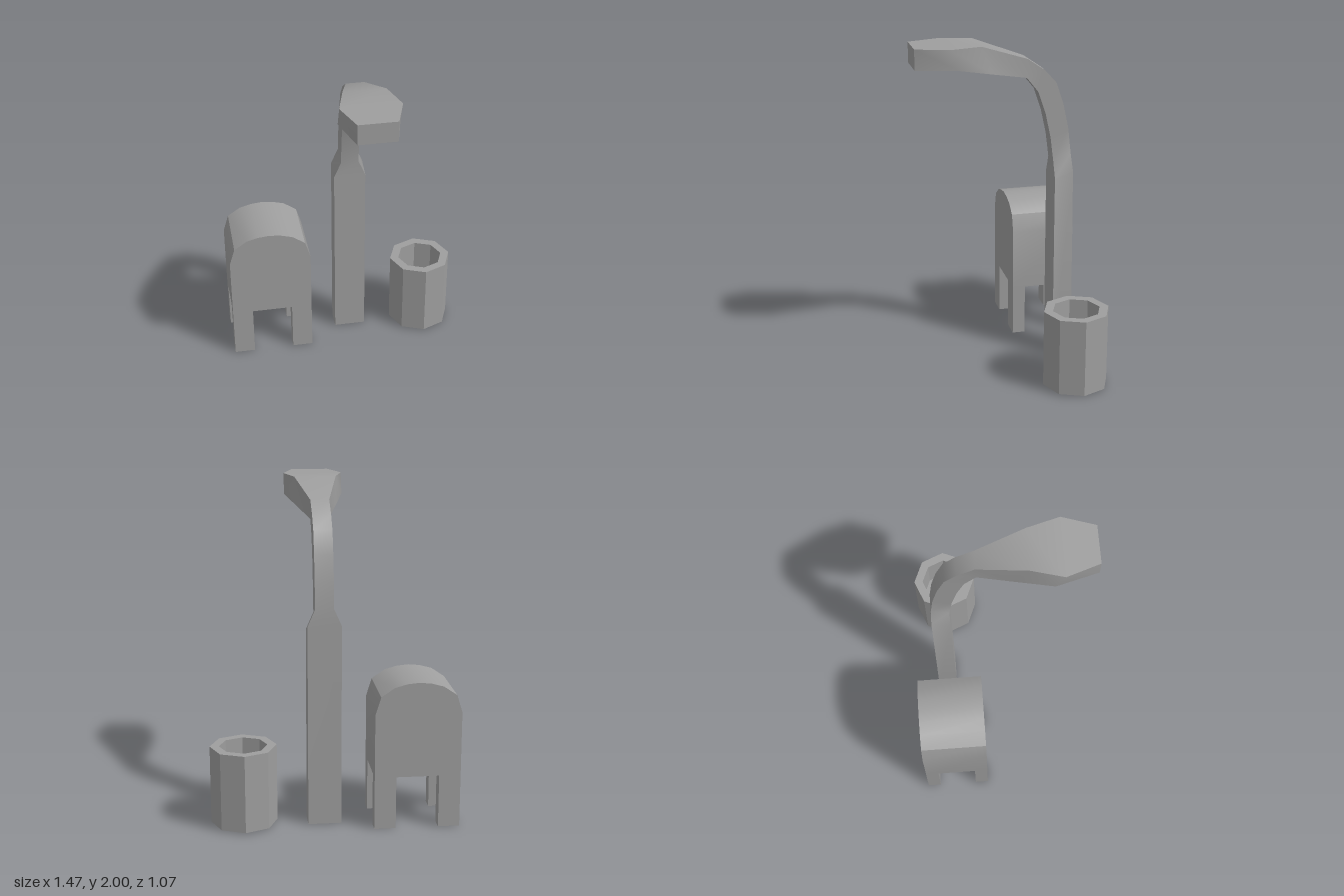
import * as THREE from 'three';
import { toCreasedNormals } from 'three/addons/utils/BufferGeometryUtils.js';

const material = new THREE.MeshStandardMaterial({ color: 0x9e9e9e, side: THREE.DoubleSide });
const flatMaterial = new THREE.MeshStandardMaterial({ color: 0x9e9e9e, side: THREE.DoubleSide, flatShading: true });

function addMesh(parent, name, geometry, mat = material) {
  const mesh = new THREE.Mesh(geometry, mat);
  mesh.name = name;
  parent.add(mesh);
  return mesh;
}

// Skins four-cornered sections; each is [halfWidth, frontZ, frontY, backZ, backY, (frontHalfWidth)].
// The first end stays open, the last one can be capped.
function loft(sections, capEnd) {
  const positions = [];
  const index = [];
  for (const [w, fz, fy, bz, by, fw = w] of sections) {
    positions.push(-fw, fy, fz, fw, fy, fz, w, by, bz, -w, by, bz);
  }
  for (let i = 0; i < sections.length - 1; i++) {
    for (let j = 0; j < 4; j++) {
      const a = i * 4 + j, b = i * 4 + (j + 1) % 4;
      index.push(a, b, b + 4, a, b + 4, a + 4);
    }
  }
  if (capEnd) {
    const e = (sections.length - 1) * 4;
    index.push(e, e + 1, e + 2, e, e + 2, e + 3);
  }
  const geometry = new THREE.BufferGeometry();
  geometry.setAttribute('position', new THREE.Float32BufferAttribute(positions, 3));
  geometry.setIndex(index);
  return toCreasedNormals(geometry, 0.75);
}

// Street lamp: square post, curved neck and a flared head in one skin
function createLamp() {
  const lamp = new THREE.Group();
  lamp.name = 'streetLamp';
  lamp.position.x = 0.056;
  addMesh(lamp, 'lampPostAndHead', loft([
    [0.099, -0.302, 0, -0.422, 0],
    [0.099, -0.302, 1.17, -0.414, 1.21],
    [0.055, -0.302, 1.27, -0.41, 1.31],
    [0.055, -0.283, 1.42, -0.392, 1.47],
    [0.055, -0.25, 1.57, -0.36, 1.62],
    [0.055, -0.205, 1.70, -0.315, 1.75],
    [0.055, -0.135, 1.788, -0.245, 1.828],
    [0.055, -0.135, 1.788, -0.14, 1.90],
    [0.125, 0.08, 1.833, 0.15, 2, 0.117],
    [0.177, 0.29, 1.878, 0.34, 2],
    [0.113, 0.535, 1.878, 0.535, 2],
  ], true));
  return lamp;
}

// Mailbox: arched body on four short legs
function createMailbox() {
  const mailbox = new THREE.Group();
  mailbox.name = 'mailbox';
  mailbox.position.set(-0.48, 0, -0.337);
  const halfWidth = 0.255, halfDepth = 0.197, legTop = 0.32;

  const arch = [[halfWidth, 0.705], [0.222, 0.812], [0.143, 0.866], [0.07, 0.886]];
  const shape = new THREE.Shape();
  shape.moveTo(-halfWidth, legTop);
  shape.lineTo(halfWidth, legTop);
  for (const [x, y] of arch) shape.lineTo(x, y);
  shape.lineTo(0, 0.893);
  for (const [x, y] of [...arch].reverse()) shape.lineTo(-x, y);
  const body = new THREE.ExtrudeGeometry(shape, { depth: halfDepth * 2, bevelEnabled: false });
  body.translate(0, 0, -halfDepth);
  addMesh(mailbox, 'mailboxBody', toCreasedNormals(body, 0.5));

  // Legs are hollow and open underneath
  const legWidth = 0.128, legDepth = 0.08;
  for (const sx of [-1, 1]) {
    for (const sz of [-1, 1]) {
      const leg = addMesh(mailbox, 'mailboxLeg', loft([
        [legWidth / 2, legDepth / 2, 0, -legDepth / 2, 0],
        [legWidth / 2, legDepth / 2, legTop, -legDepth / 2, legTop],
      ], false));
      leg.position.set(sx * (halfWidth - legWidth / 2), 0, sz * (halfDepth - legDepth / 2));
    }
  }
  return mailbox;
}

// Bin: octagonal outer wall, flat rim, inner wall and raised floor
function createBin() {
  const bin = new THREE.Group();
  bin.name = 'litterBin';
  bin.position.set(0.532, 0, -0.337);
  const profile = [[0.198, 0.008], [0.198, 0.481], [0.143, 0.481], [0.143, 0.25], [0, 0.25]];
  addMesh(bin, 'binShell', new THREE.LatheGeometry(profile.map(([r, y]) => new THREE.Vector2(r, y)), 8), flatMaterial);
  return bin;
}

export function createModel() {
  const model = new THREE.Group();
  model.name = 'streetFurniture';
  model.add(createLamp(), createMailbox(), createBin());
  return model;
}
